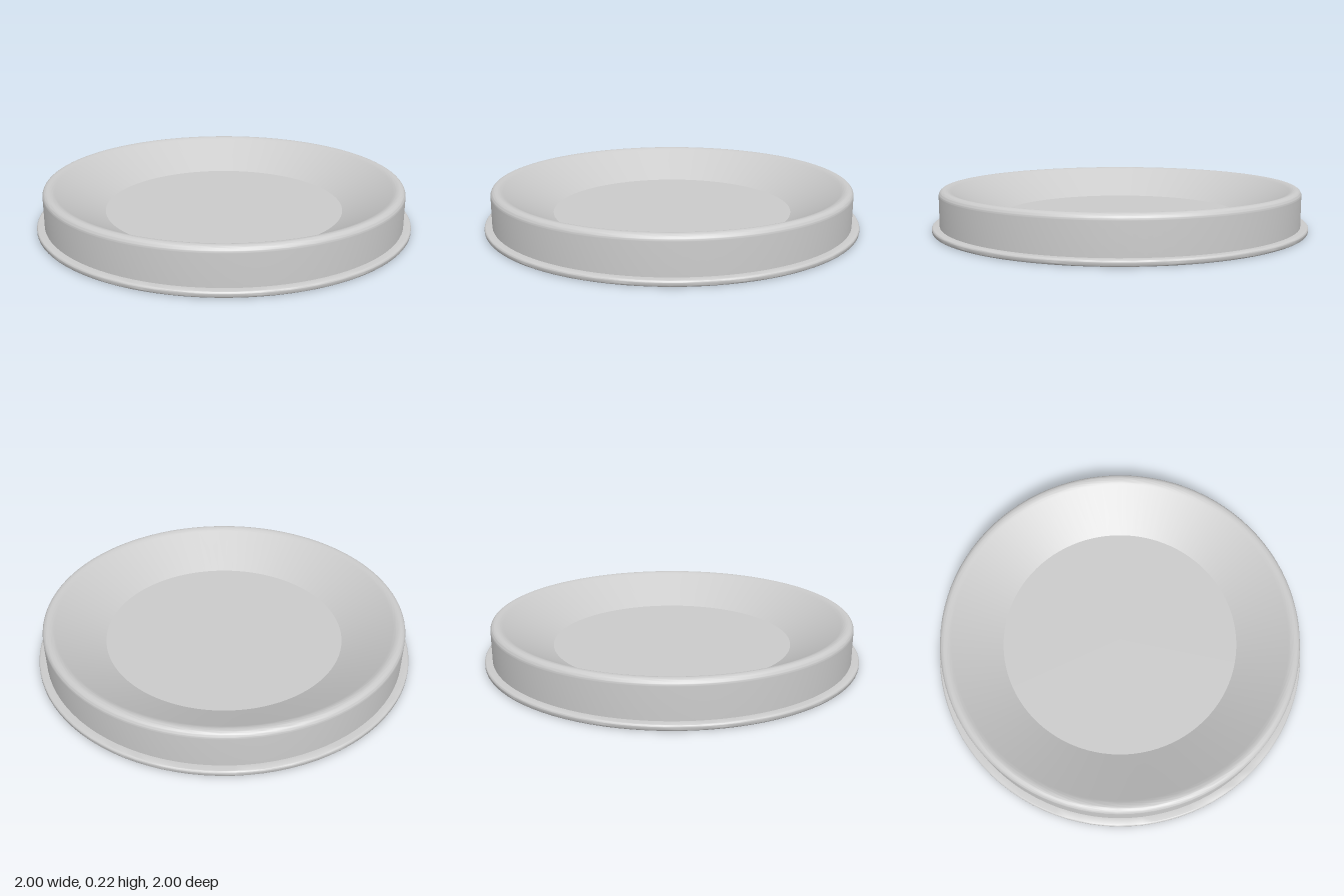
import * as THREE from 'three';
import { toCreasedNormals } from 'three/addons/utils/BufferGeometryUtils.js';

const SEGMENTS = 96;
const FLOOR_R = 0.64, FLOOR_Y = 0.07; // sunken flat floor
const WALL_R = 0.96, TOP_Y = 0.22;    // outer skirt

export function createModel() {
  const group = new THREE.Group();
  group.name = 'shallowDish';
  const material = new THREE.MeshStandardMaterial({ color: 0xcccccc, side: THREE.DoubleSide });

  const add = (name, geometry) => {
    const mesh = new THREE.Mesh(geometry, material);
    mesh.name = name;
    group.add(mesh);
    return mesh;
  };
  const lathe = (path, divisions) =>
    toCreasedNormals(new THREE.LatheGeometry(path.getPoints(divisions), SEGMENTS), 0.6);

  // Thin shell: skirt, rounded rim, then the slope down to the floor
  const round = 0.03;
  const shell = new THREE.Path();
  shell.moveTo(WALL_R, 0);
  shell.lineTo(WALL_R, TOP_Y - round);
  shell.absarc(WALL_R - round, TOP_Y - round, round, 0, Math.PI / 2, false);
  shell.quadraticCurveTo(0.913, TOP_Y, 0.895, 0.209);
  shell.lineTo(FLOOR_R, FLOOR_Y);
  add('skirtRimAndSlope', lathe(shell, 6));

  // Flat floor
  const floor = add('floor', new THREE.CircleGeometry(FLOOR_R, SEGMENTS));
  floor.rotation.x = -Math.PI / 2;
  floor.position.y = FLOOR_Y;

  // Base flange with softened outer edges
  const r = 0.01, h = 0.03;
  const flange = new THREE.Path();
  flange.moveTo(WALL_R - 0.004, 0);
  flange.lineTo(1 - r, 0);
  flange.absarc(1 - r, r, r, -Math.PI / 2, 0, false);
  flange.absarc(1 - r, h - r, r, 0, Math.PI / 2, false);
  flange.lineTo(WALL_R, h);
  add('baseFlange', lathe(flange, 5));

  return group;
}
